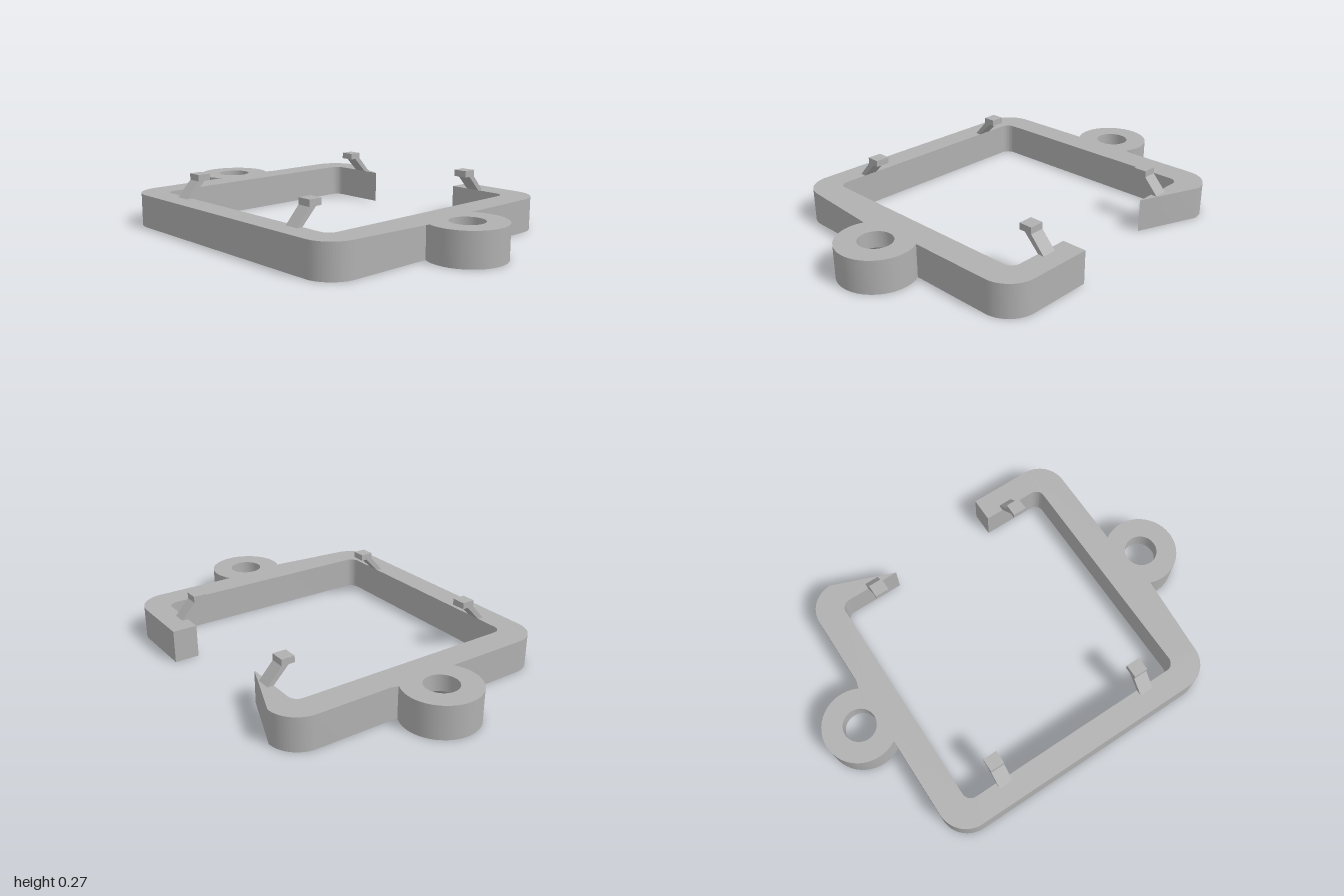
import * as THREE from 'three';
import { toCreasedNormals } from 'three/addons/utils/BufferGeometryUtils.js';

const HEIGHT = 0.16;
const OUT = { x: 0.7, z: 0.725, r: 0.14 };
const INN = { x: 0.58, z: 0.59, r: 0.045 };
const GAP = 0.275;
const LUG = { z: 0.82, r: 0.18, hole: 0.08, sink: 0.145 };

// Open C-shaped outline with a round screw lug on the front and back
function frameShape() {
  const s = new THREE.Shape();
  const quarter = Math.PI / 2;
  const a = Math.asin((LUG.z - OUT.z) / LUG.r);
  const corner = (box, sx, sy, start, clockwise) => s.absarc(
    sx * (box.x - box.r), sy * (box.z - box.r), box.r,
    start, start + (clockwise ? -quarter : quarter), clockwise);

  // outer edge
  s.moveTo(OUT.x, GAP);
  corner(OUT, 1, 1, 0, false);
  s.absarc(0, LUG.z, LUG.r, -a, Math.PI + a, false);
  corner(OUT, -1, 1, quarter, false);
  corner(OUT, -1, -1, 2 * quarter, false);
  s.absarc(0, -LUG.z, LUG.r, Math.PI - a, 2 * Math.PI + a, false);
  corner(OUT, 1, -1, 3 * quarter, false);
  s.lineTo(OUT.x, -GAP);

  // inner edge, back the other way
  s.lineTo(INN.x, -GAP);
  corner(INN, 1, -1, 0, true);
  corner(INN, -1, -1, -quarter, true);
  corner(INN, -1, 1, 2 * quarter, true);
  corner(INN, 1, 1, quarter, true);
  s.lineTo(INN.x, GAP);
  s.closePath();

  // screw holes at their wide, countersunk size
  for (const side of [-1, 1]) {
    const hole = new THREE.Path();
    hole.absarc(0, side * LUG.z, LUG.sink, 0, Math.PI * 2, true);
    s.holes.push(hole);
  }
  return s;
}

function frameGeometry() {
  const geo = new THREE.ExtrudeGeometry(frameShape(), {
    depth: HEIGHT, steps: 2, bevelEnabled: false, curveSegments: 16,
  });
  geo.rotateX(-Math.PI / 2);

  // narrow the holes above the base, leaving a countersink underneath
  const p = geo.attributes.position;
  for (let i = 0; i < p.count; i++) {
    const cz = Math.sign(p.getZ(i)) * LUG.z;
    const dx = p.getX(i);
    const dz = p.getZ(i) - cz;
    if (p.getY(i) > 0.01 && Math.hypot(dx, dz) < LUG.sink + 0.005) {
      const k = LUG.hole / LUG.sink;
      p.setX(i, dx * k);
      p.setZ(i, cz + dz * k);
    }
  }
  return toCreasedNormals(geo, Math.PI / 6);
}

// Slanted arm with a small block at its tip, leaning towards +x
function clipGeometry() {
  const width = 0.07;
  const profile = new THREE.Shape([
    [-0.61, 0.16], [-0.58, 0.16], [-0.505, 0.237], [-0.475, 0.237],
    [-0.475, 0.268], [-0.54, 0.268], [-0.54, 0.237],
  ].map(([x, y]) => new THREE.Vector2(x, y)));
  const geo = new THREE.ExtrudeGeometry(profile, { depth: width, bevelEnabled: false });
  return geo.translate(0, 0, -width / 2);
}

export function createModel() {
  const model = new THREE.Group();
  model.name = 'mountingBracket';
  const grey = new THREE.MeshStandardMaterial({ color: 0xb0b0b0 });
  grey.name = 'grey plastic';

  const frame = new THREE.Mesh(frameGeometry(), grey);
  frame.name = 'frame';
  model.add(frame);

  // four clips, mirrored by half a turn
  const clip = clipGeometry();
  for (const x of [-1, 1]) {
    for (const z of [-1, 1]) {
      const mesh = new THREE.Mesh(clip, grey);
      mesh.name = (z > 0 ? 'front' : 'back') + (x > 0 ? 'Left' : 'Right') + 'Clip';
      mesh.position.z = z * 0.4;
      if (x > 0) mesh.rotation.y = Math.PI;
      model.add(mesh);
    }
  }
  return model;
}
